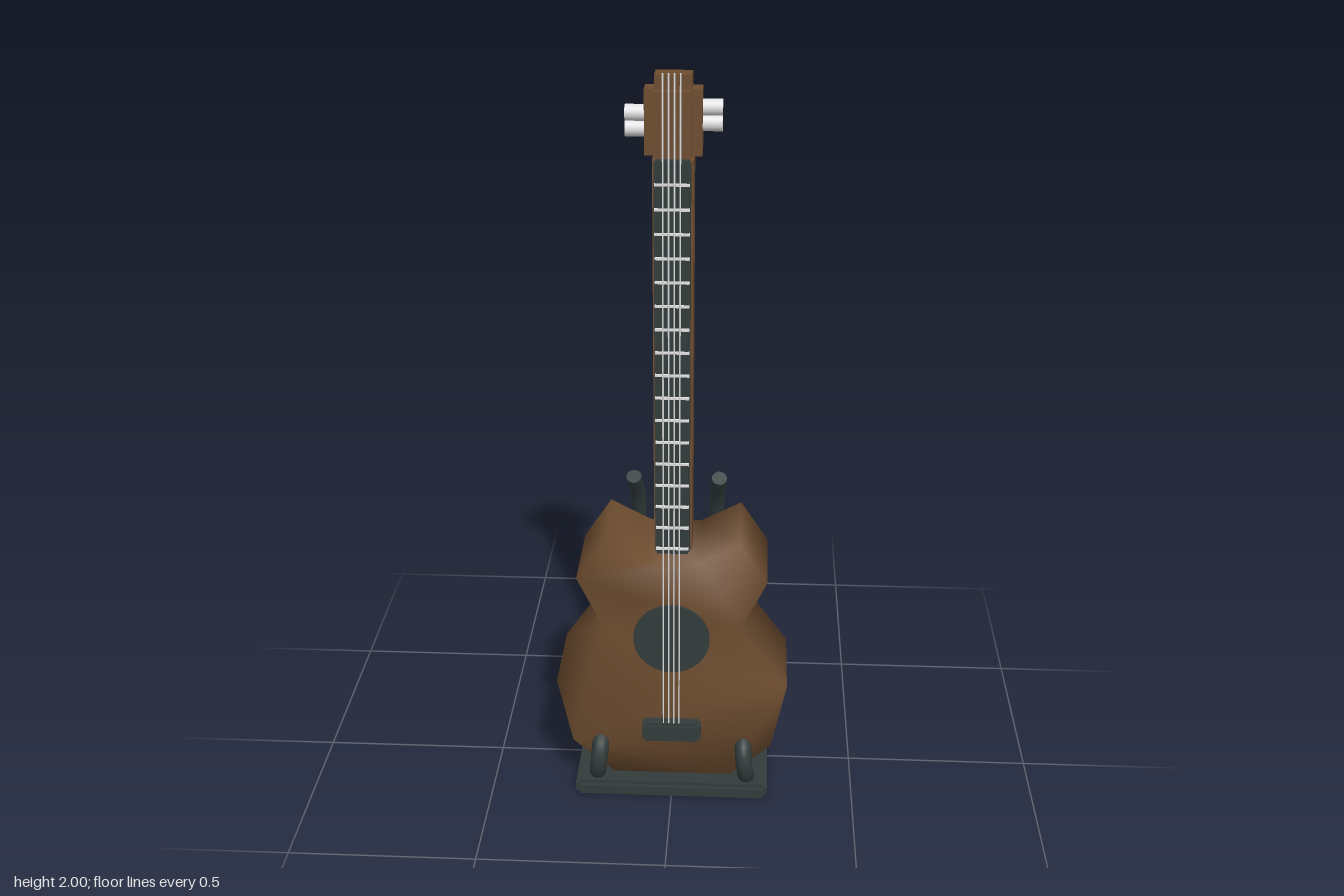
import * as THREE from 'three';
import { mergeVertices } from 'three/addons/utils/BufferGeometryUtils.js';

const material = (name, color) => {
  const m = new THREE.MeshStandardMaterial({ color });
  m.name = name;
  return m;
};

export function createModel() {
  const wood = material('brown wood', 0x6e4d30);
  const dark = material('dark charcoal', 0x323b3b);
  const metal = material('pale metal', 0xe2e2e4);
  const model = new THREE.Group();
  model.name = 'guitarOnStand';

  const add = (name, geometry, mat, parent = model) => {
    const mesh = new THREE.Mesh(geometry, mat);
    mesh.name = name;
    parent.add(mesh);
    return mesh;
  };

  const box = (name, [x0, x1], [y0, y1], [z0, z1], mat, parent) =>
    add(name, new THREE.BoxGeometry(x1 - x0, y1 - y0, z1 - z0), mat, parent)
      .position.set((x0 + x1) / 2, (y0 + y1) / 2, (z0 + z1) / 2);

  // Block with stepped edges: three crossing boxes, each reaching full size on two axes
  const steppedBlock = (name, xs, ys, zs, [dx, dy, dz], mat) => {
    const group = new THREE.Group();
    group.name = name;
    model.add(group);
    const inset = ([a, b], d) => [a + d, b - d];
    box(name + 'Wide', xs, inset(ys, dy), inset(zs, dz), mat, group);
    box(name + 'Tall', inset(xs, dx), ys, inset(zs, dz), mat, group);
    box(name + 'Deep', inset(xs, dx), inset(ys, dy), zs, mat, group);
  };

  // Bent rod with flat ends
  const rod = (name, points, radius) => {
    const group = new THREE.Group();
    group.name = name;
    model.add(group);
    const curve = new THREE.CatmullRomCurve3(points.map(p => new THREE.Vector3(...p)));
    add(name + 'Tube', new THREE.TubeGeometry(curve, 32, radius, 14), dark, group);
    for (const t of [0, 1]) {
      const cap = add(name + 'End', new THREE.CircleGeometry(radius, 14), dark, group);
      const out = curve.getTangentAt(t).multiplyScalar(t ? 1 : -1);
      cap.position.copy(curve.getPointAt(t));
      cap.quaternion.setFromUnitVectors(new THREE.Vector3(0, 0, 1), out);
    }
  };

  // Body: angular outline with softly blended normals
  const half = [[0.16, 0.06], [0.272, 0.16], [0.312, 0.35], [0.185, 0.53],
    [0.252, 0.67], [0.178, 0.782], [0.07, 0.725]];
  const outline = [...half, ...half.map(([x, y]) => [-x, y]).reverse()];
  let body = new THREE.ExtrudeGeometry(
    new THREE.Shape(outline.map(p => new THREE.Vector2(...p))),
    { depth: 0.245, bevelEnabled: false });
  body.deleteAttribute('normal');
  body.deleteAttribute('uv');
  body = mergeVertices(body);
  body.computeVertexNormals();
  body.translate(0, 0, -0.07);
  add('body', body, wood);

  // Neck and headstock
  steppedBlock('neck', [-0.05, 0.05], [0.7, 1.79], [-0.008, 0.108], [0.012, 0.01, 0.01], wood);
  steppedBlock('headstock', [-0.07, 0.07], [1.75, 1.98], [0, 0.105], [0.025, 0.035, 0.025], wood);

  // Fretboard and frets
  steppedBlock('fretboard', [-0.045, 0.045], [0.725, 1.785], [0.105, 0.132], [0.004, 0.006, 0.005], dark);
  for (let i = 0; i < 17; i++) {
    const y = 0.745 + i * 0.0615;
    box('fret', [-0.043, 0.043], [y - 0.003, y + 0.003], [0.13, 0.138], metal);
  }

  // Sound hole and bridge
  const hole = add('soundHole', new THREE.CylinderGeometry(0.102, 0.102, 0.009, 40), dark);
  hole.rotation.x = Math.PI / 2;
  hole.position.set(0, 0.495, 0.179);
  steppedBlock('bridge', [-0.08, 0.08], [0.182, 0.24], [0.168, 0.208], [0.008, 0.008, 0.006], dark);

  // Strings
  for (const x of [-0.021, -0.007, 0.007, 0.021]) {
    const line = new THREE.LineCurve3(
      new THREE.Vector3(x, 0.2, 0.2), new THREE.Vector3(x, 2, 0.152));
    add('string', new THREE.TubeGeometry(line, 1, 0.002, 6), metal);
  }

  // Tuning pegs, slightly staggered from side to side
  for (const [side, y0] of [[1, 1.86], [-1, 1.845]]) {
    for (const dy of [0, 0.038]) {
      const peg = add('tuningPeg', new THREE.CylinderGeometry(0.02, 0.02, 0.055, 20), metal);
      peg.rotation.z = Math.PI / 2;
      peg.position.set(side * 0.09, y0 + dy, 0.052);
    }
  }

  // Stand: base plate, rear supports and front hooks
  steppedBlock('standBase', [-0.265, 0.265], [0, 0.046], [-0.219, 0.213], [0.011, 0.01, 0.011], dark);
  for (const s of [-1, 1]) {
    rod('rearSupport', [[s * 0.218, 0.03, -0.152], [s * 0.19, 0.2, -0.16],
      [s * 0.135, 0.48, -0.183], [s * 0.11, 0.66, -0.175],
      [s * 0.11, 0.76, -0.145], [s * 0.117, 0.845, -0.088]], 0.021);
    rod('frontHook', [[s * 0.208, 0.035, 0.148], [s * 0.205, 0.07, 0.182],
      [s * 0.2, 0.11, 0.193], [s * 0.197, 0.145, 0.182], [s * 0.196, 0.165, 0.155]], 0.023);
  }

  return model;
}
